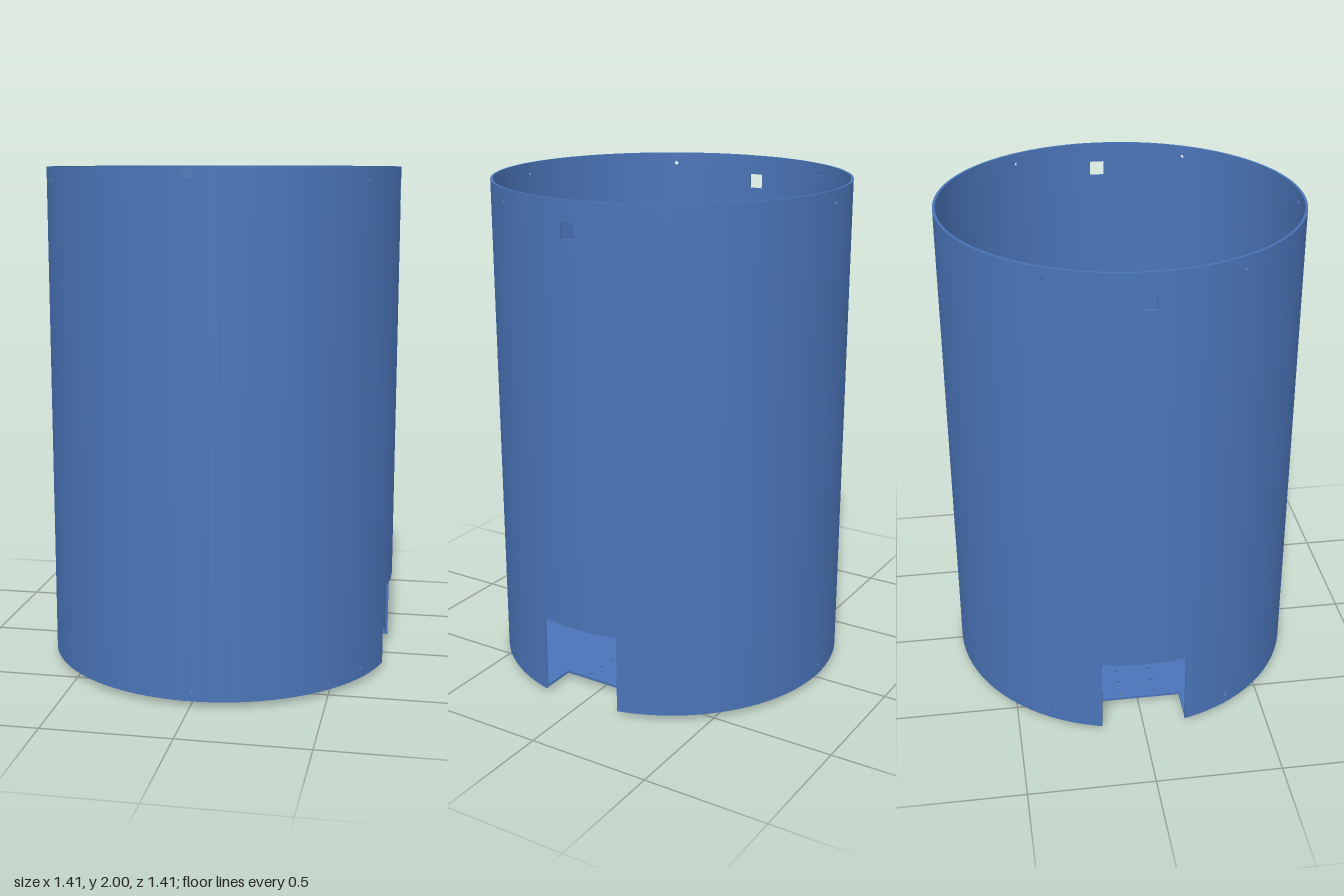
import * as THREE from 'three';
import { mergeGeometries } from 'three/addons/utils/BufferGeometryUtils.js';

const R = 0.705, WALL = 0.01, BOTTOM = 0.02, TOP = 2;
const PLATE = 0.01, NOTCH_Z = 0.17, NOTCH_TOP = 0.335, HOLE = 0.008;
const RAD = Math.PI / 180;

const polygon = (pts) => new THREE.Shape(pts.map(([x, y]) => new THREE.Vector2(x, y)));

function addHole(shape, x, y, r = HOLE) {
  shape.holes.push(new THREE.Path().absarc(x, y, r, 0, Math.PI * 2, true));
}

// Roll a flat strip (x = arc length, z = depth) around the y axis
function bend(geo, edge0, edge1) {
  const p = geo.attributes.position, n = geo.attributes.normal;
  const pos = [], nor = [];
  for (let t = 0; t < p.count; t += 3) {
    // leave out the hidden joints between neighbouring strips
    const joint = [edge0, edge1].some((e) =>
      [0, 1, 2].every((k) => Math.abs(p.getX(t + k) - e) < 1e-5));
    if (joint) continue;
    for (let k = t; k < t + 3; k++) {
      const a = p.getX(k) / R, r = R - WALL + p.getZ(k);
      const s = Math.sin(a), c = Math.cos(a), nx = n.getX(k), nz = n.getZ(k);
      pos.push(r * s, p.getY(k), r * c);
      nor.push(nx * c + nz * s, n.getY(k), nz * c - nx * s);
    }
  }
  const out = new THREE.BufferGeometry();
  out.setAttribute('position', new THREE.Float32BufferAttribute(pos, 3));
  out.setAttribute('normal', new THREE.Float32BufferAttribute(nor, 3));
  return out;
}

// Tube wall made of narrow strips, with notches, windows and screw holes
function wallGeometry() {
  const parts = [];
  const notchHalf = Math.asin(NOTCH_Z / R) / RAD;
  for (let a0 = 86; a0 < 446;) {
    const wide = a0 === 86 || a0 === 266;
    const a1 = a0 + (wide ? 8 : 4), mid = (a0 + a1) / 2;
    const side = [90, 270, 450].find((s) => Math.abs(mid - s) <= 90);
    const d = mid - side;
    const arc = (deg) => deg * RAD * R;
    const u0 = arc(a0), u1 = arc(a1);
    let shape;
    if (Math.abs(d) < 12) {
      shape = polygon([[u0, NOTCH_TOP], [u1, NOTCH_TOP], [u1, TOP], [u0, TOP]]);
    } else if (Math.abs(d) < 16) {
      const e = arc(side + Math.sign(d) * notchHalf);
      shape = d > 0
        ? polygon([[u0, NOTCH_TOP], [e, NOTCH_TOP], [e, BOTTOM], [u1, BOTTOM], [u1, TOP], [u0, TOP]])
        : polygon([[u0, BOTTOM], [e, BOTTOM], [e, NOTCH_TOP], [u1, NOTCH_TOP], [u1, TOP], [u0, TOP]]);
    } else {
      shape = polygon([[u0, BOTTOM], [u1, BOTTOM], [u1, TOP], [u0, TOP]]);
    }
    if (wide) {
      const c = arc(mid), w = 0.03;
      shape.holes.push(polygon([[c - w, 1.86], [c - w, 1.92], [c + w, 1.92], [c + w, 1.86]]));
    }
    if (mid % 60 === 0) for (const y of [0.06, 1.955]) addHole(shape, arc(mid), y);
    const geo = new THREE.ExtrudeGeometry(shape, { depth: WALL, bevelEnabled: false, curveSegments: 5 });
    parts.push(bend(geo, u0, u1));
    a0 = a1;
  }
  return mergeGeometries(parts);
}

// Floor disc with wheel cut-outs and mounting holes
function floorGeometry() {
  const r = R - WALL, a = Math.asin(NOTCH_Z / r), x = 0.535;
  const s = new THREE.Shape();
  s.absarc(0, 0, r, a, Math.PI - a, false);
  s.lineTo(-x, NOTCH_Z);
  s.lineTo(-x, -NOTCH_Z);
  s.absarc(0, 0, r, Math.PI + a, 2 * Math.PI - a, false);
  s.lineTo(x, -NOTCH_Z);
  s.lineTo(x, NOTCH_Z);
  s.closePath();
  for (const i of [-1, 1]) {
    addHole(s, 0, i * 0.648);
    for (const j of [-1, 1]) {
      for (const z of [0.543, 0.587]) addHole(s, i * 0.028, j * z);
      for (const hx of [0.367, 0.437, 0.507]) addHole(s, i * hx, j * 0.07);
      addHole(s, i * 0.56, j * 0.323);
    }
  }
  return new THREE.ExtrudeGeometry(s, { depth: PLATE, bevelEnabled: false, curveSegments: 40 })
    .rotateX(-Math.PI / 2).translate(0, BOTTOM, 0);
}

// Small castor: drilled square flange with a rounded tip
function createCastor(material) {
  const castor = new THREE.Group();
  const s = polygon([[-0.04, -0.035], [0.04, -0.035], [0.04, 0.035], [-0.04, 0.035]]);
  for (const i of [-1, 1]) for (const j of [-1, 1]) addHole(s, i * 0.028, j * 0.022);
  const flange = new THREE.Mesh(
    new THREE.ExtrudeGeometry(s, { depth: 0.008, bevelEnabled: false, curveSegments: 6 })
      .rotateX(-Math.PI / 2).translate(0, 0.012, 0), material);
  flange.name = 'castorFlange';
  const profile = [[0, 0], [0.012, 0], [0.017, 0.004], [0.018, 0.013]].map(([x, y]) => new THREE.Vector2(x, y));
  const tip = new THREE.Mesh(new THREE.LatheGeometry(profile, 20), material);
  tip.name = 'castorTip';
  castor.add(flange, tip);
  return castor;
}

export function createModel() {
  const model = new THREE.Group();
  model.name = 'cylindricalHousing';
  const material = new THREE.MeshStandardMaterial({ color: 0x4a74b8 });

  const wall = new THREE.Mesh(wallGeometry(), material);
  wall.name = 'tubeWall';
  const floor = new THREE.Mesh(floorGeometry(), material);
  floor.name = 'floorPlate';
  model.add(wall, floor);

  for (const side of [1, -1]) {
    const castor = createCastor(material);
    castor.name = side > 0 ? 'frontCastor' : 'backCastor';
    castor.position.z = side * 0.565;
    model.add(castor);
  }
  return model;
}
